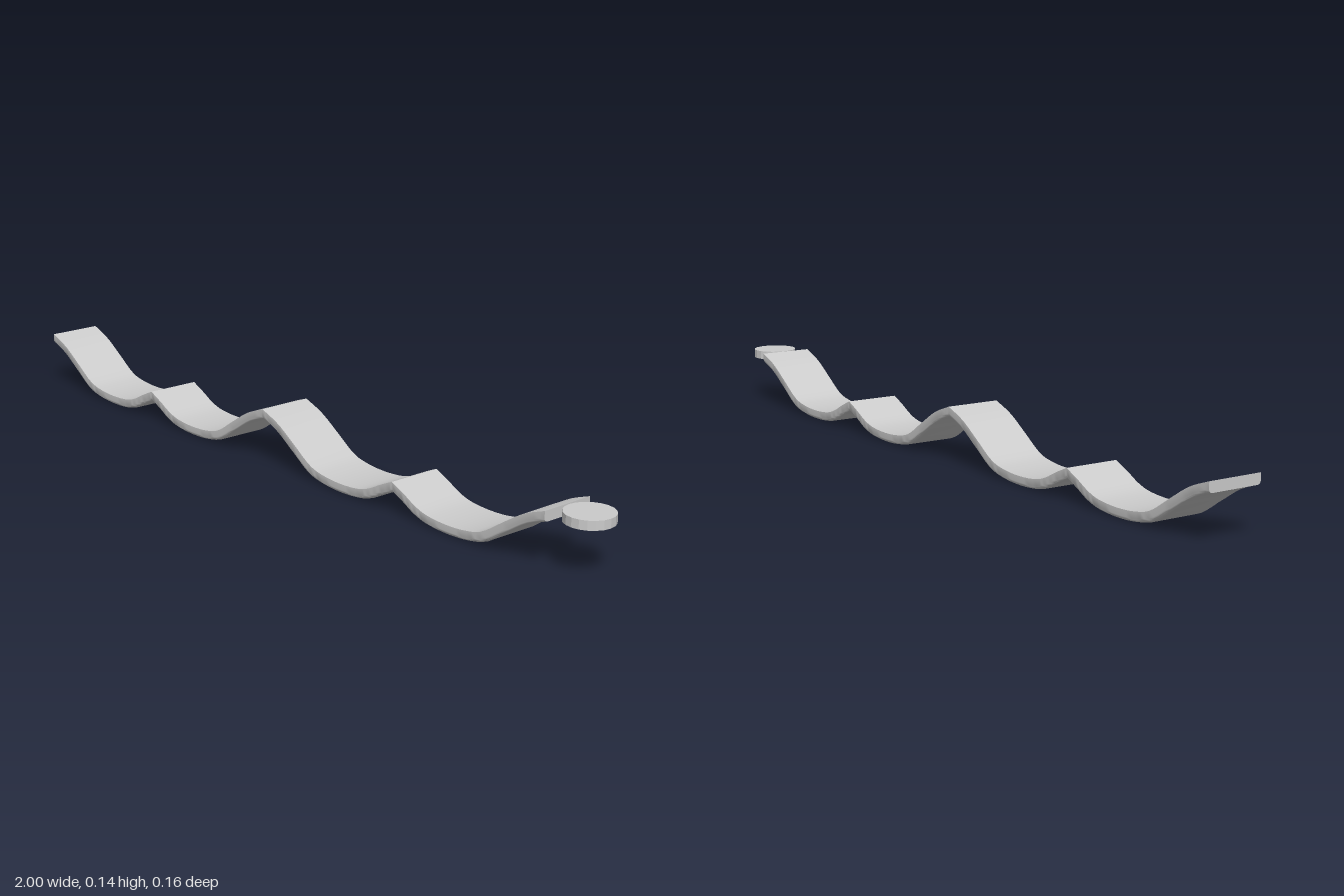
import * as THREE from 'three';
import { toCreasedNormals } from 'three/addons/utils/BufferGeometryUtils.js';

const LENGTH = 0.47, HALF_WIDTH = 0.071, THICK = 0.024, ROUND = 0.009, STEPS = 32;

// Top line of one link: high end, shallow trough, low end
const topLine = new THREE.SplineCurve([
  [0, 0.142], [0.06, 0.119], [0.12, 0.082], [0.18, 0.044], [0.23, 0.031],
  [0.29, 0.027], [0.35, 0.031], [0.39, 0.042], [0.43, 0.062], [0.47, 0.08],
].map(([x, y]) => new THREE.Vector2(x, y)));

// Cross-section as [z, y below the top line], with rounded lower edges
function crossSection() {
  const loop = [[-HALF_WIDTH, 0], [HALF_WIDTH, 0]];
  for (const side of [1, -1]) {
    for (let k = 0; k <= 4; k++) {
      const a = (side > 0 ? k : 4 - k) / 4 * Math.PI / 2;
      loop.push([
        side * (HALF_WIDTH - ROUND + ROUND * Math.cos(a)),
        -THICK + ROUND - ROUND * Math.sin(a),
      ]);
    }
  }
  return loop;
}

// Sweep the section along the wave; the band drifts slightly in z
function linkGeometry(startX, mirrored) {
  const loop = crossSection(), n = loop.length, positions = [], index = [];
  for (let i = 0; i <= STEPS; i++) {
    const t = mirrored ? 1 - i / STEPS : i / STEPS;
    const p = topLine.getPoint(t), tangent = topLine.getTangent(t);
    const x = startX + (mirrored ? LENGTH - p.x : p.x);
    for (const [z, y] of loop) {
      positions.push(x, p.y + y / Math.abs(tangent.x), z + 0.0016 + 0.0106 * x);
    }
  }
  for (let i = 0; i < STEPS; i++) {
    for (let j = 0; j < n; j++) {
      const k = (j + 1) % n;
      const a = i * n + j, b = a + n, d = i * n + k, c = d + n;
      index.push(a, d, c, a, c, b);
    }
  }
  // End caps
  const last = STEPS * n;
  for (let j = 1; j < n - 1; j++) {
    index.push(0, j + 1, j, last, last + j, last + j + 1);
  }
  const geometry = new THREE.BufferGeometry();
  geometry.setAttribute('position', new THREE.Float32BufferAttribute(positions, 3));
  geometry.setIndex(index);
  return toCreasedNormals(geometry, Math.PI / 5);
}

export function createModel() {
  const model = new THREE.Group();
  model.name = 'wavyBand';
  const material = new THREE.MeshStandardMaterial({ color: 0xcccccc });

  // Four links, alternately mirrored
  for (let i = 0; i < 4; i++) {
    const link = new THREE.Mesh(linkGeometry(-1 + i * LENGTH, i % 2 === 1), material);
    link.name = `waveLink${i + 1}`;
    model.add(link);
  }

  // Flat end disc
  const disc = new THREE.Mesh(
    new THREE.CylinderGeometry(0.058, 0.058, 0.022, 20),
    new THREE.MeshStandardMaterial({ color: 0xcccccc, flatShading: true }),
  );
  disc.name = 'endDisc';
  disc.position.set(0.942, 0.131, 0.011);
  model.add(disc);

  return model;
}
